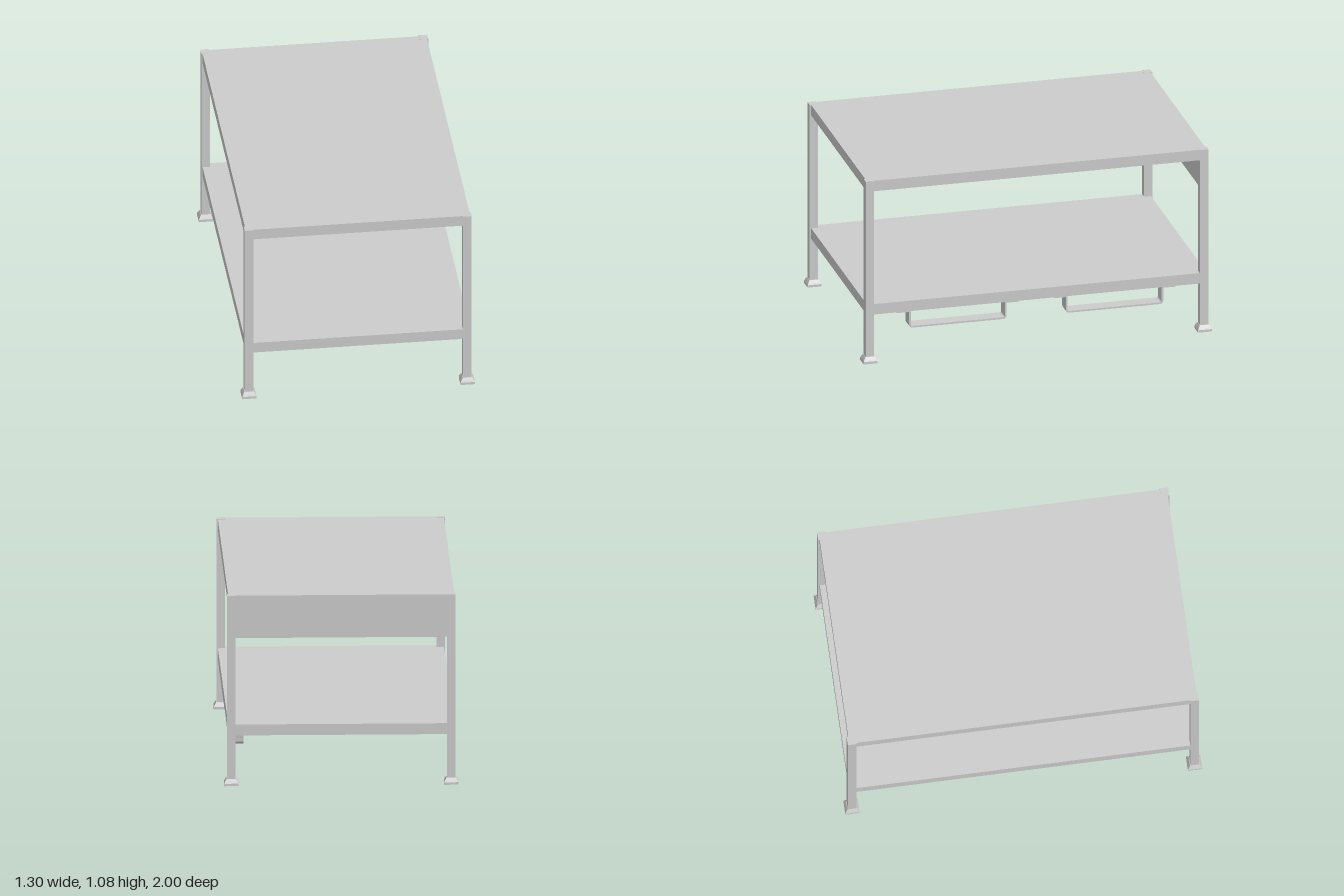
import * as THREE from 'three';
import { toCreasedNormals } from 'three/addons/utils/BufferGeometryUtils.js';

const material = new THREE.MeshStandardMaterial({ color: 0xcccccc });
const flatMaterial = new THREE.MeshStandardMaterial({ color: 0xcccccc, flatShading: true });

function box(name, w, y0, y1, d, x = 0, z = 0) {
  const mesh = new THREE.Mesh(new THREE.BoxGeometry(w, y1 - y0, d), material);
  mesh.position.set(x, (y0 + y1) / 2, z);
  mesh.name = name;
  return mesh;
}

// Square foot: vertical base, then a sloped shoulder up to the leg
function footGeometry() {
  const profile = [[0, 0], [0.04, 0], [0.04, 0.014], [0.036, 0.022], [0.027, 0.038], [0, 0.038]]
    .map(([half, y]) => new THREE.Vector2(half * Math.SQRT2, y));
  return new THREE.LatheGeometry(profile, 4, Math.PI / 4);
}

// Bent flat strap with mounting tabs, running along z below the shelf
function strapGeometry() {
  const t = 0.01, out = 0.28, inn = out - t, tab = 0.35, low = -0.105, r = 0.022;
  const s = new THREE.Shape();
  s.moveTo(-tab, 0);
  s.lineTo(-tab, -t);
  s.lineTo(-out - 0.004, -t);
  s.quadraticCurveTo(-out, -t, -out, -t - 0.004);
  s.lineTo(-out, low + r);
  s.quadraticCurveTo(-out, low, -out + r, low);
  s.lineTo(out - r, low);
  s.quadraticCurveTo(out, low, out, low + r);
  s.lineTo(out, -t - 0.004);
  s.quadraticCurveTo(out, -t, out + 0.004, -t);
  s.lineTo(tab, -t);
  s.lineTo(tab, 0);
  s.lineTo(inn + 0.012, 0);
  s.quadraticCurveTo(inn, 0, inn, -0.012);
  s.lineTo(inn, low + r);
  s.quadraticCurveTo(inn, low + t, inn - 0.012, low + t);
  s.lineTo(-inn + 0.012, low + t);
  s.quadraticCurveTo(-inn, low + t, -inn, low + r);
  s.lineTo(-inn, -0.012);
  s.quadraticCurveTo(-inn, 0, -inn - 0.012, 0);
  s.closePath();
  const g = new THREE.ExtrudeGeometry(s, { depth: 0.08, bevelEnabled: false, curveSegments: 6 });
  g.rotateY(Math.PI / 2);
  return toCreasedNormals(g, 0.7);
}

export function createModel() {
  const model = new THREE.Group();
  model.name = 'workTable';

  // Worktop, lower shelf and back apron
  model.add(box('tableTop', 1.256, 1.017, 1.079, 1.95));
  model.add(box('lowerShelf', 1.256, 0.283, 0.345, 1.95));
  model.add(box('backApron', 1.2, 0.835, 1.02, 0.015, 0, -0.957));

  // Four legs with feet
  const foot = footGeometry();
  for (const sx of [-1, 1]) {
    for (const sz of [-1, 1]) {
      const leg = new THREE.Group();
      leg.name = (sz > 0 ? 'front' : 'back') + (sx > 0 ? 'Left' : 'Right') + 'Leg';
      leg.add(box('post', 0.048, 0.03, 1.08, 0.048));
      const footMesh = new THREE.Mesh(foot, flatMaterial);
      footMesh.name = 'foot';
      leg.add(footMesh);
      leg.position.set(sx * 0.611, 0, sz * 0.96);
      model.add(leg);
    }
  }

  // Two straps under one long edge of the shelf
  const strap = strapGeometry();
  for (const sz of [-1, 1]) {
    const mesh = new THREE.Mesh(strap, material);
    mesh.name = sz > 0 ? 'frontStrap' : 'backStrap';
    mesh.position.set(0.535, 0.283, sz * 0.45);
    model.add(mesh);
  }
  return model;
}
